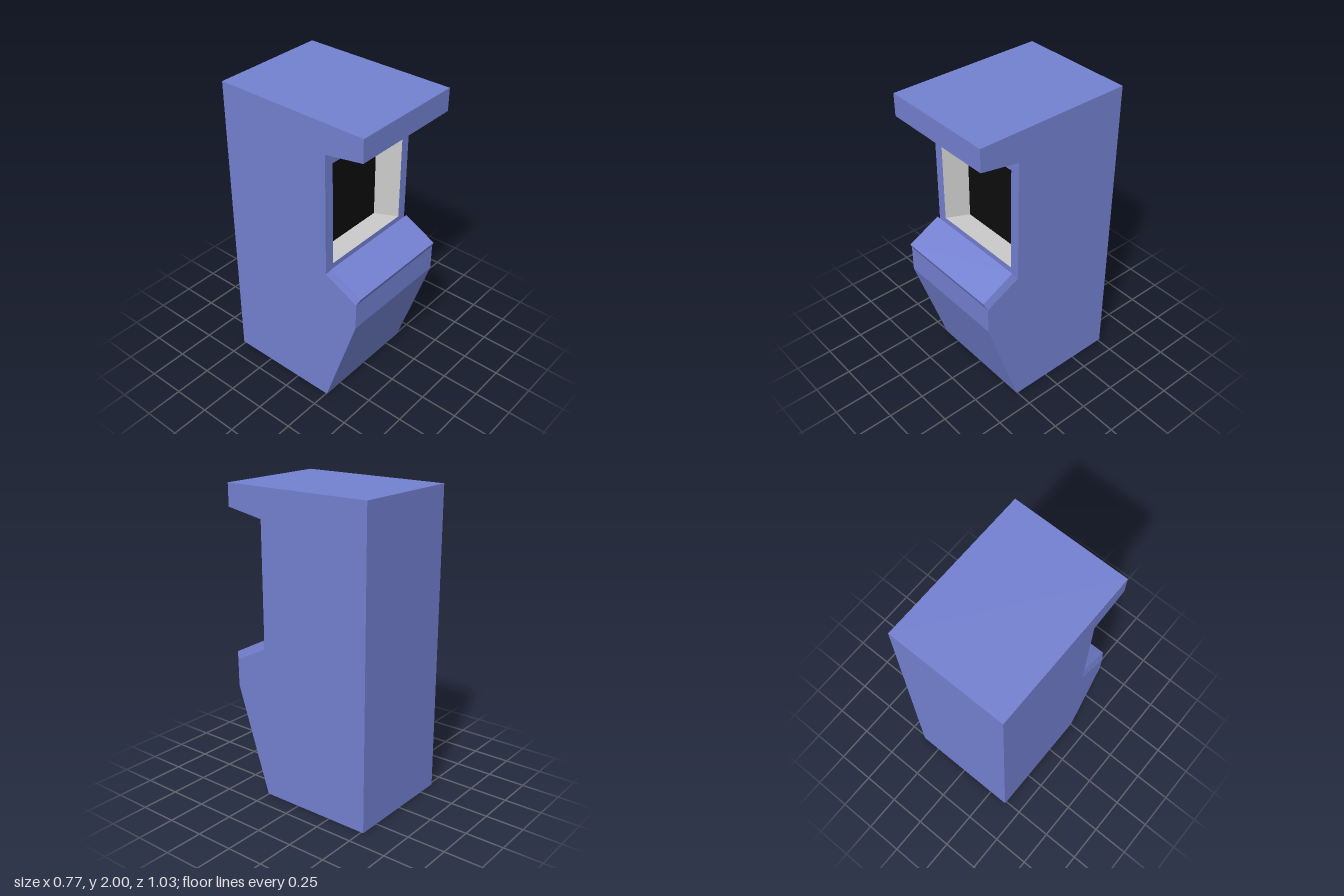
import * as THREE from 'three';

const W = 0.383;       // half width of the cabinet
const FACE_Z = 0.255;  // plane holding the screen window
const blue = new THREE.MeshStandardMaterial({ color: 0x7380d0, flatShading: true });
const grey = new THREE.MeshStandardMaterial({ color: 0xcccccc, flatShading: true });
const black = new THREE.MeshStandardMaterial({ color: 0x0d0d0d, flatShading: true });

// Side outline as [z, y]
const outline = [
  [-0.515, 0], [FACE_Z, 0], [0.485, 0.71], [0.485, 0.885], [FACE_Z, 1.0],
  [FACE_Z, 1.81], [0.515, 1.855], [0.515, 2], [-0.515, 2],
];
const WINDOW_SEGMENT = 4;
const PANEL_SEGMENT = 3;

// Flat four-cornered faces, corners counter-clockwise from outside
function quads(list) {
  const pos = list.flatMap(([a, b, c, d]) => [a, b, c, a, c, d].flat());
  const geo = new THREE.BufferGeometry();
  geo.setAttribute('position', new THREE.Float32BufferAttribute(pos, 3));
  geo.computeVertexNormals();
  return geo;
}

// Walls joining two four-cornered rings
const walls = (a, b) => a.map((p, i) => {
  const j = (i + 1) % 4;
  return [p, a[j], b[j], b[i]];
});

// Ring across the width between two [z, y] points
const ring = (w, [z0, y0], [z1, y1]) => [[-w, y0, z0], [w, y0, z0], [w, y1, z1], [-w, y1, z1]];

export function createModel() {
  const group = new THREE.Group();
  const add = (name, geo, mat) => {
    const mesh = new THREE.Mesh(geo, mat);
    mesh.name = name;
    group.add(mesh);
    return mesh;
  };

  // Side panels
  for (const s of [-1, 1]) {
    const shape = new THREE.Shape(outline.map(([z, y]) => new THREE.Vector2(-s * z, y)));
    const geo = new THREE.ShapeGeometry(shape).rotateY(s * Math.PI / 2).translate(s * W, 0, 0);
    add(s > 0 ? 'leftSide' : 'rightSide', geo, blue);
  }

  // Shell wrapped around the outline, leaving out the window wall
  const shell = outline
    .map((p, i) => ring(W, p, outline[(i + 1) % outline.length]))
    .filter((_, i) => i !== WINDOW_SEGMENT);
  add('cabinetShell', quads(shell), blue);

  // Window wall with the opening cut out
  const opening = ring(0.32, [FACE_Z, 1.045], [FACE_Z, 1.73]);
  const screen = ring(0.26, [FACE_Z - 0.15, 1.036], [FACE_Z - 0.15, 1.605]);
  const toPoints = (r) => r.map(([x, y]) => new THREE.Vector2(x, y));
  const wall = new THREE.Shape(toPoints(ring(W, outline[WINDOW_SEGMENT], outline[WINDOW_SEGMENT + 1])));
  wall.holes.push(new THREE.Path(toPoints(opening)));
  add('windowWall', new THREE.ShapeGeometry(wall).translate(0, 0, FACE_Z), blue);

  // Tapered bezel and screen
  add('screenBezel', quads(walls(opening, screen)), grey);
  add('screen', quads([screen]), black);

  // Sloped control panel with bevelled edges
  const base = ring(W, outline[PANEL_SEGMENT], outline[PANEL_SEGMENT + 1]);
  const top = ring(0.366, [0.505, 0.93], [0.285, 1.045]);
  add('controlPanel', quads([...walls(base, top), top]), blue);

  return group;
}
